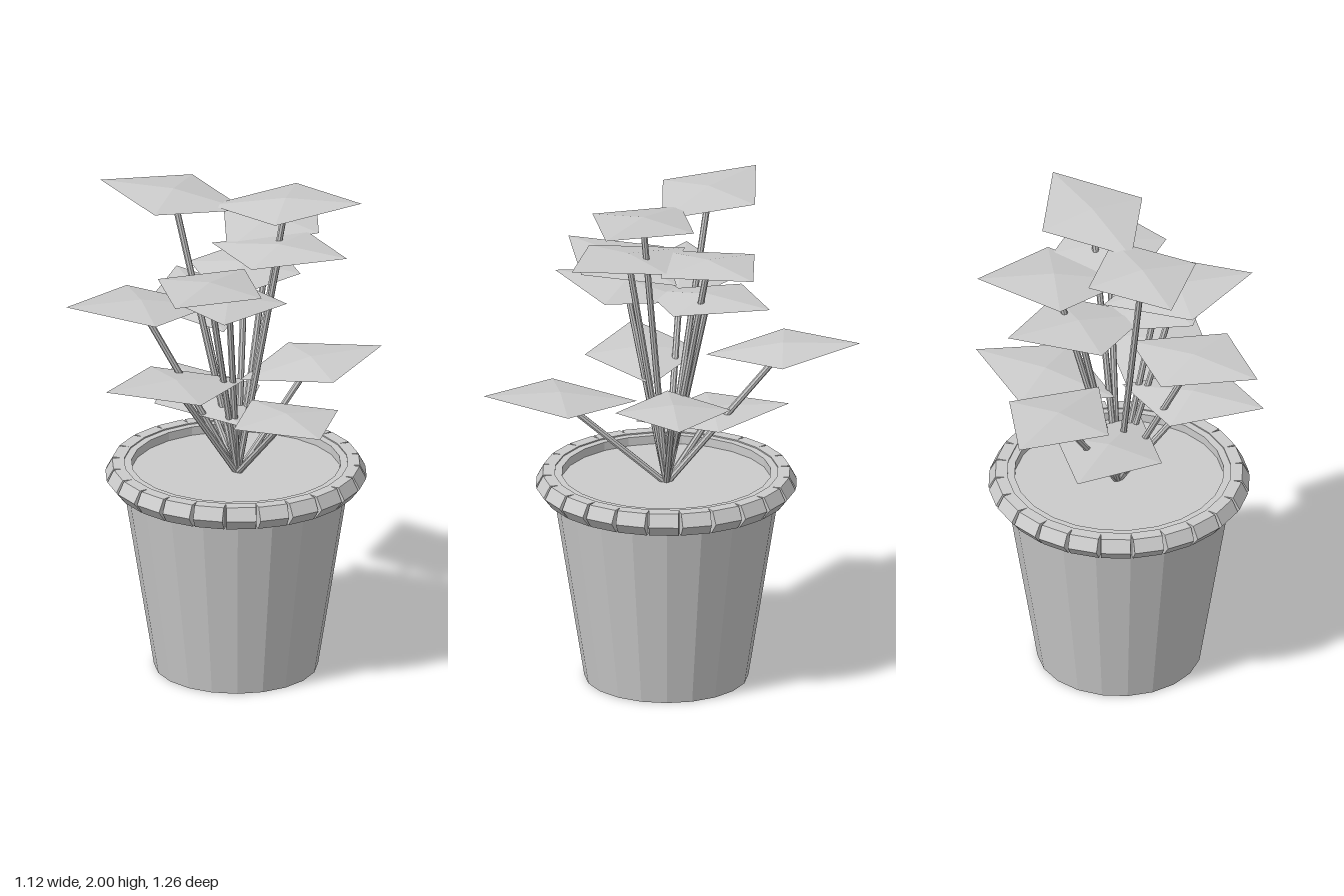
import * as THREE from 'three';

const CX = -0.005, CZ = -0.018; // pot axis

// Each leaf: centre x, y, z, then the direction (x, z) its tip points in
const LEAVES = [
  [0.083, 1.97, 0.16, 0.127, 0.277],
  [-0.07, 1.96, -0.275, -0.083, -0.285],
  [0.255, 1.80, -0.03, 0.3, 0],
  [0.012, 1.80, 0.18, 0.033, 0.297],
  [-0.243, 1.685, 0.022, -0.304, 0.045],
  [-0.165, 1.61, 0.06, -0.26, 0.16],
  [0.165, 1.615, -0.095, 0.28, -0.09],
  [-0.275, 1.55, -0.288, -0.228, -0.195],
  [0.273, 1.377, -0.387, 0.184, -0.243],
  [-0.29, 1.255, -0.11, -0.26, -0.147],
  [0.27, 1.23, 0.15, 0.257, 0.16],
  [-0.2, 1.19, 0.36, -0.143, 0.263],
  [0.055, 1.085, -0.2, 0.15, -0.26],
];

// Diamond leaf: raised centre, tip (+z) tilted up, inner end down
function leafGeometry() {
  const c = [0, 0.028, 0];
  const rim = [[0, 0.025, 0.305], [0.23, 0, 0], [0, -0.025, -0.305], [-0.23, 0, 0]];
  const pos = [];
  rim.forEach((p, i) => pos.push(...c, ...p, ...rim[(i + 1) % 4]));
  const g = new THREE.BufferGeometry();
  g.setAttribute('position', new THREE.Float32BufferAttribute(pos, 3));
  g.computeVertexNormals();
  return g;
}

export function createModel() {
  const group = new THREE.Group();
  const flat = new THREE.MeshStandardMaterial({ color: 0xcccccc, flatShading: true });
  const thin = new THREE.MeshStandardMaterial({ color: 0xcccccc, flatShading: true, side: THREE.DoubleSide });
  const add = (name, geo, mat, parent = group) => {
    const m = new THREE.Mesh(geo, mat);
    m.name = name;
    parent.add(m);
    return m;
  };
  const lathe = (pts, n) => new THREE.LatheGeometry(pts.map(p => new THREE.Vector2(...p)), n);

  // Pot: tapered body, inner lip and soil
  const pot = new THREE.Group();
  pot.name = 'pot';
  pot.position.set(CX, 0, CZ);
  group.add(pot);
  add('potBody', lathe([[0, 0], [0.325, 0], [0.447, 0.77]], 20), flat, pot);
  add('potLip', lathe([[0.44, 0.768], [0.465, 0.768], [0.465, 0.855], [0.415, 0.855], [0.415, 0.81]], 24), thin, pot);
  const soil = add('soil', new THREE.CircleGeometry(0.418, 24), flat, pot);
  soil.rotation.x = -Math.PI / 2;
  soil.position.y = 0.82;

  // Rim: 24 bevelled blocks with narrow gaps on the outside
  const profile = new THREE.Shape(
    [[0.44, 0.765], [0.48, 0.765], [0.515, 0.81], [0.488, 0.86], [0.44, 0.86]].map(p => new THREE.Vector2(...p)));
  const width = 0.118;
  const blockGeo = new THREE.ExtrudeGeometry(profile, { depth: width, bevelEnabled: false });
  blockGeo.translate(0, 0, -width / 2);
  for (let i = 0; i < 24; i++) {
    add('rimBlock', blockGeo, flat, pot).rotation.y = (i + 0.5) * Math.PI / 12;
  }

  // Plant: a straight stem from the soil to every leaf
  const leafGeo = leafGeometry();
  const base = new THREE.Vector3(0, 0.81, -0.015);
  const up = new THREE.Vector3(0, 1, 0);
  for (const [x, y, z, dx, dz] of LEAVES) {
    const leaf = add('leaf', leafGeo, thin);
    leaf.position.set(x, y, z);
    leaf.rotation.y = Math.atan2(dx, dz);

    const dir = new THREE.Vector3(x, y - 0.005, z).sub(base);
    const stem = add('stem', new THREE.CylinderGeometry(0.013, 0.013, dir.length(), 8), flat);
    stem.position.copy(base).addScaledVector(dir, 0.5);
    stem.quaternion.setFromUnitVectors(up, dir.normalize());
  }
  return group;
}
